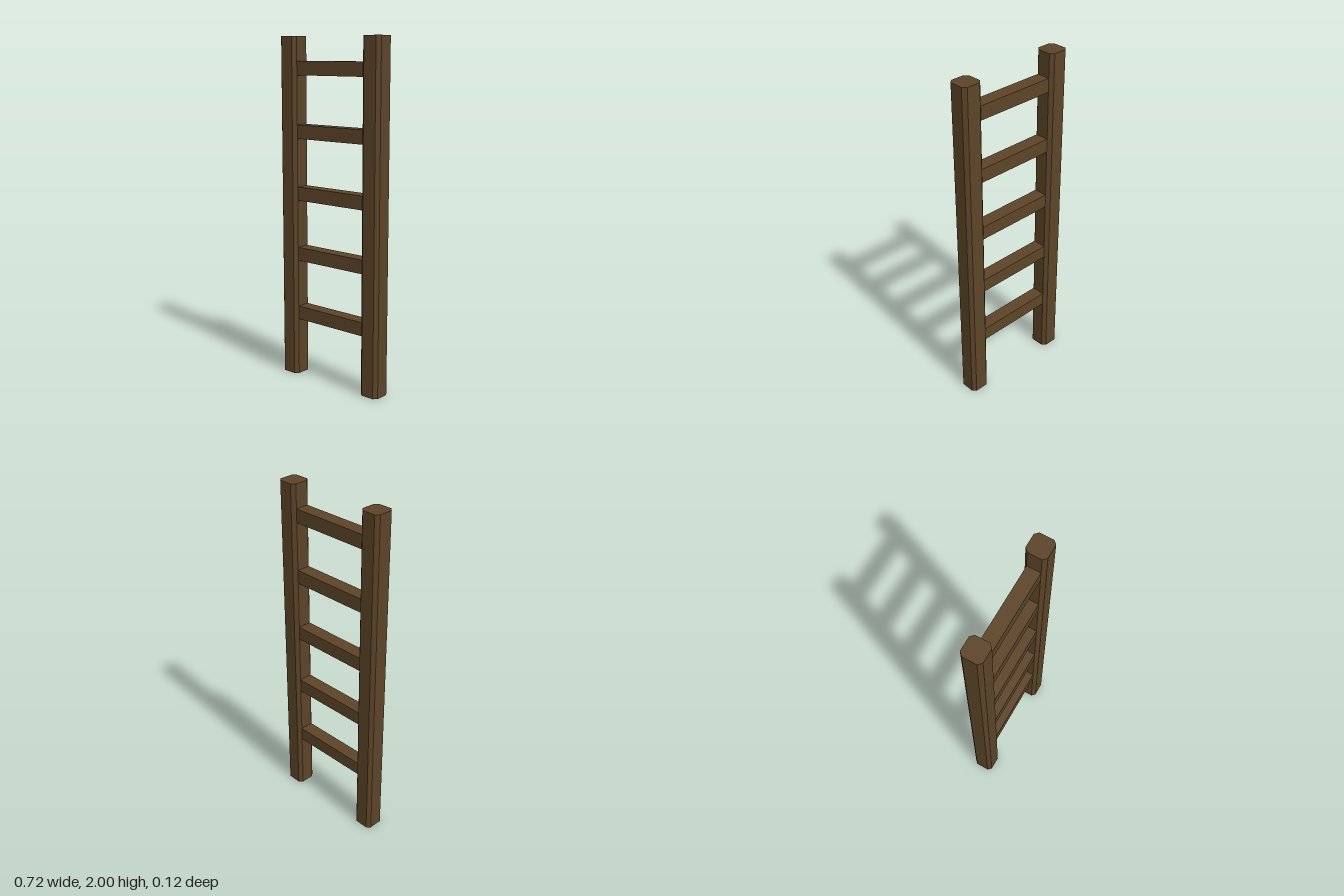
import * as THREE from 'three';

const wood = new THREE.MeshStandardMaterial({ color: 0x5c4428, flatShading: true });

// Square post with chamfered long edges
function postGeometry(half, chamfer, height) {
  const h = half, c = half - chamfer;
  const outline = [[h, -c], [h, c], [c, h], [-c, h], [-h, c], [-h, -c], [-c, -h], [c, -h]];
  const shape = new THREE.Shape(outline.map(([x, y]) => new THREE.Vector2(x, y)));
  const geometry = new THREE.ExtrudeGeometry(shape, { depth: height, bevelEnabled: false });
  return geometry.rotateX(-Math.PI / 2);
}

export function createModel() {
  const ladder = new THREE.Group();
  ladder.name = 'ladder';

  // Side rails
  const railGeometry = postGeometry(0.06, 0.02, 2);
  for (const side of [-1, 1]) {
    const rail = new THREE.Mesh(railGeometry, wood);
    rail.name = side > 0 ? 'leftRail' : 'rightRail';
    rail.position.x = side * 0.3;
    ladder.add(rail);
  }

  // Evenly spaced rungs between the rails
  const rungGeometry = new THREE.BoxGeometry(0.48, 0.08, 0.08);
  for (let i = 0; i < 5; i++) {
    const rung = new THREE.Mesh(rungGeometry, wood);
    rung.name = `rung${i + 1}`;
    rung.position.y = 0.383 + i * 0.36;
    ladder.add(rung);
  }

  return ladder;
}
